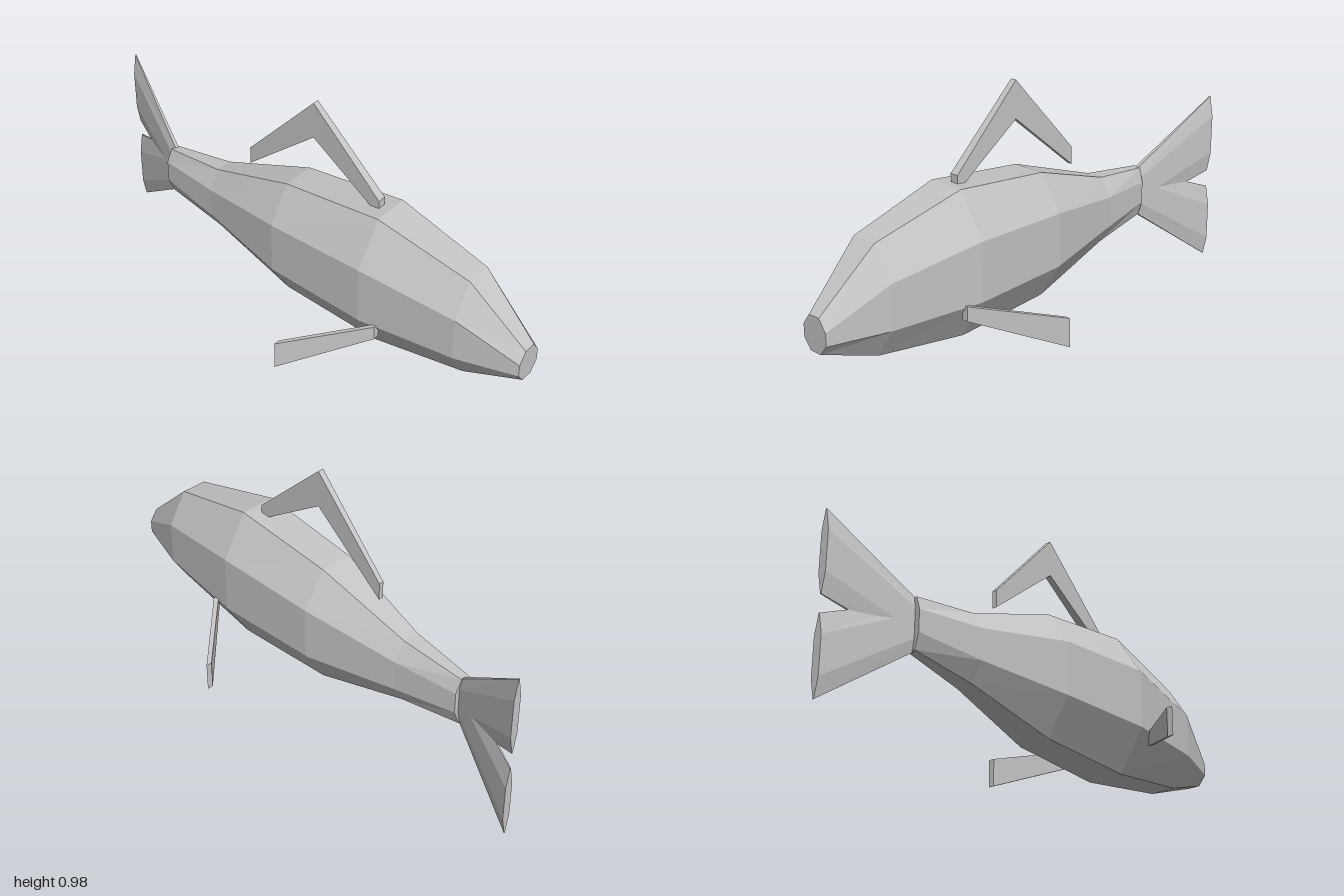
import * as THREE from 'three';

// Closed loft through rings ordered from +z to -z, each counter-clockwise seen from +z
function loft(rings) {
  const n = rings[0].length;
  const last = rings.length - 1;
  const pos = rings.flat(2);
  const idx = [];
  for (let r = 0; r < last; r++) {
    for (let i = 0; i < n; i++) {
      const j = (i + 1) % n;
      const a = r * n + i, b = r * n + j, c = b + n, d = a + n;
      idx.push(a, d, c, a, c, b);
    }
  }
  for (let i = 1; i < n - 1; i++) {
    idx.push(0, i, i + 1);
    idx.push(last * n, last * n + i + 1, last * n + i);
  }
  const indexed = new THREE.BufferGeometry();
  indexed.setAttribute('position', new THREE.Float32BufferAttribute(pos, 3));
  indexed.setIndex(idx);
  const g = indexed.toNonIndexed();
  g.computeVertexNormals();
  return g;
}

// Eight-sided section: half width hw at the sides, cap at top and bottom
function octagon(z, cx, hw, cap, top, up, low, bottom, skew = 0) {
  return [[cap, bottom], [hw, low], [hw, up], [cap, top],
    [-cap, top], [-hw, up], [-hw, low], [-cap, bottom]]
    .map(([x, y]) => [cx + x, y, z + x * skew]);
}

// Four-sided section, with separate half widths at bottom and top
function quad(z, cx, hwBottom, hwTop, bottom, top) {
  return [[cx + hwBottom, bottom, z], [cx + hwTop, top, z],
    [cx - hwTop, top, z], [cx - hwBottom, bottom, z]];
}

export function createModel() {
  const group = new THREE.Group();
  const grey = new THREE.MeshStandardMaterial({ color: 0xc4c4c4, flatShading: true });
  grey.name = 'grey';
  const add = (name, rings) => {
    const mesh = new THREE.Mesh(loft(rings), grey);
    mesh.name = name;
    group.add(mesh);
  };

  // Body, snout to tail stem
  add('body', [
    octagon(1, 0, 0.057, 0.025, 0.375, 0.33, 0.28, 0.24),
    octagon(0.77, 0, 0.13, 0.052, 0.58, 0.455, 0.28, 0.16),
    octagon(0.385, 0, 0.178, 0.073, 0.67, 0.503, 0.27, 0.105),
    octagon(-0.04, 0, 0.158, 0.066, 0.617, 0.478, 0.265, 0.12),
    octagon(-0.42, 0, 0.08, 0.034, 0.485, 0.412, 0.288, 0.213),
    octagon(-0.685, 0, 0.038, 0.017, 0.45, 0.395, 0.308, 0.25, 0.25),
  ]);

  // Two tail lobes share one root and sweep to the left
  const root = octagon(-0.665, 0, 0.019, 0.008, 0.44, 0.397, 0.31, 0.26);
  add('upperTailLobe', [root, octagon(-1, 0.118, 0.017, 0.002, 0.703, 0.62, 0.46, 0.38)]);
  add('lowerTailLobe', [root, octagon(-1, 0.118, 0.017, 0.002, 0.31, 0.23, 0.08, 0.004)]);

  // Bent dorsal fin
  add('dorsalFin', [
    quad(0.345, 0, 0.017, 0.017, 0.635, 0.697),
    quad(0.04, 0, 0.012, 0.012, 0.832, 0.98),
    quad(-0.27, 0, 0.01, 0.01, 0.575, 0.645),
  ]);

  // Side fins
  for (const [side, s] of [['left', 1], ['right', -1]]) {
    add(side + 'SideFin', [
      quad(0.463, s * 0.165, 0.013, 0.013, 0.222, 0.28),
      quad(0.21, s * 0.423, 0.012, 0.012, 0.118, 0.231),
    ]);
  }
  return group;
}
